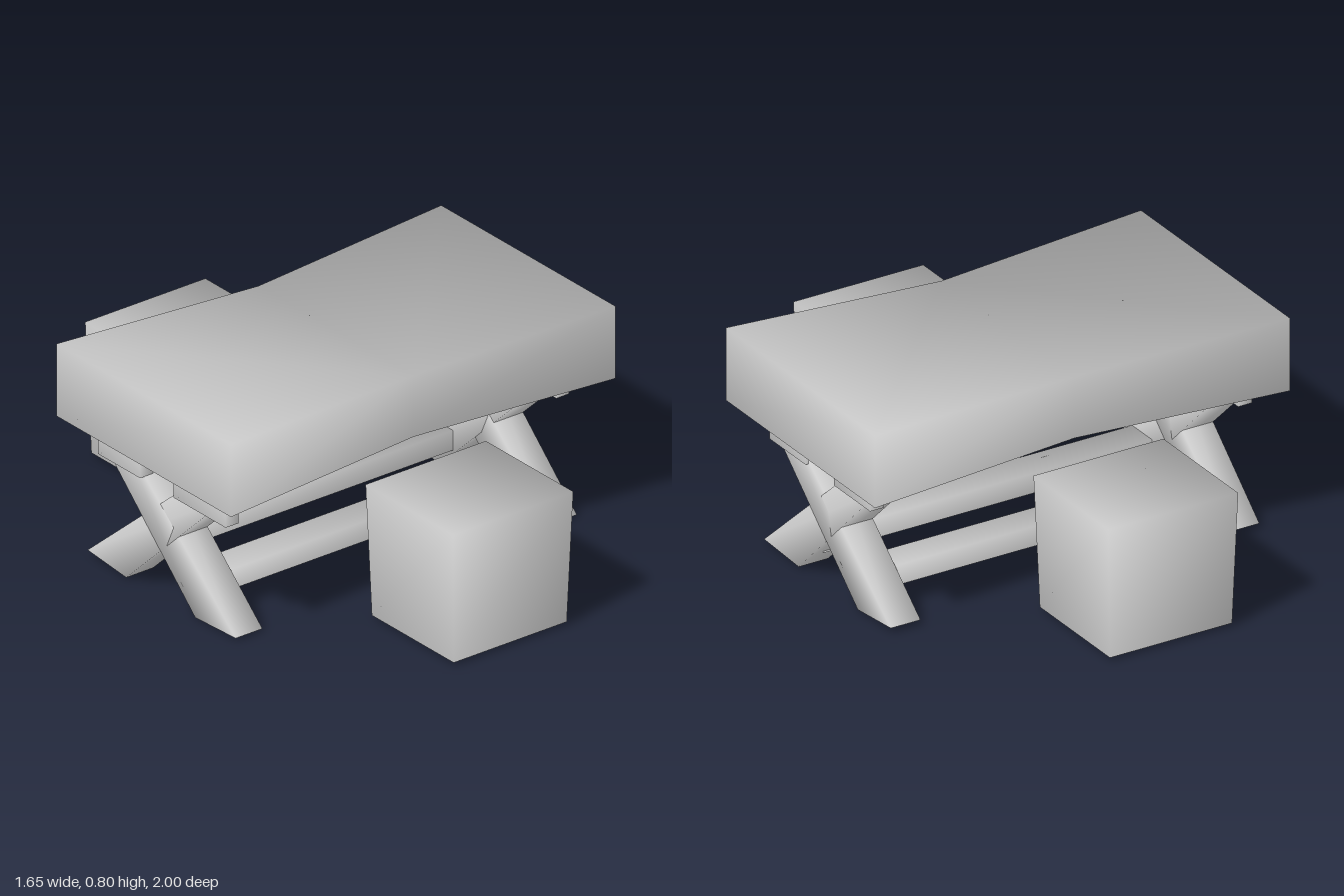
import * as THREE from 'three';

const grey = new THREE.MeshStandardMaterial({ color: 0xcccccc, side: THREE.DoubleSide });
grey.name = 'pale grey';

// Block from a bottom loop to a top loop, open underneath, with softly blended normals
function block(name, bottom, top) {
  const n = bottom.length;
  const points = [...bottom, ...top].map((p) => new THREE.Vector3(...p));
  const normals = points.map(() => new THREE.Vector3());
  const index = [];
  const addFace = (corners) => {
    const [a, b, c] = corners.map((i) => points[i]);
    const normal = b.clone().sub(a).cross(c.clone().sub(a)).normalize();
    corners.forEach((i) => normals[i].add(normal));
    for (let i = 1; i < corners.length - 1; i++) index.push(corners[0], corners[i], corners[i + 1]);
  };
  for (let i = 0; i < n; i++) {
    const j = (i + 1) % n;
    addFace([i, j, n + j, n + i]);
  }
  addFace(top.map((_, i) => n + i));
  const geometry = new THREE.BufferGeometry().setFromPoints(points);
  const flat = normals.flatMap((v) => v.normalize().toArray());
  geometry.setAttribute('normal', new THREE.Float32BufferAttribute(flat, 3));
  geometry.setIndex(index);
  const mesh = new THREE.Mesh(geometry, grey);
  mesh.name = name;
  return mesh;
}

// Four-cornered loop; the front and back edges may sit at different heights
const loop = (x0, x1, front, back, yFront, yBack = yFront) => [
  [x0, yFront, front], [x1, yFront, front], [x1, yBack, back], [x0, yBack, back],
];
// Straight-sided box
const box = (name, x0, x1, front, back, low, high) =>
  block(name, loop(x0, x1, front, back, low), loop(x0, x1, front, back, high));

// Outline of the top, pinched at the middle
const tableLoop = (yMiddle, yEnd) => [
  [0, yMiddle, 0.412], [0.825, yEnd, 0.467], [0.825, yEnd, -0.48],
  [0, yMiddle, -0.43], [-0.825, yEnd, -0.485], [-0.825, yEnd, 0.463],
];

export function createModel() {
  const model = new THREE.Group();
  model.name = 'tableWithStools';

  // Thick hollow top
  model.add(block('tableTop', tableLoop(0.548, 0.528), tableLoop(0.78, 0.802)));

  // Crossed legs at both ends, slightly wider at the top
  for (const [side, foot, head] of [
    ['right', [-0.743, -0.628], [-0.752, -0.62]],
    ['left', [0.606, 0.724], [0.608, 0.742]],
  ]) {
    model.add(block(side + 'LegToBack',
      loop(...foot, 0.385, 0.165, 0.01, 0), loop(...head, -0.22, -0.39, 0.535)));
    model.add(block(side + 'LegToFront',
      loop(...foot, -0.21, -0.42, 0, 0.02), loop(...head, 0.36, 0.19, 0.535)));
  }

  // Brackets holding the legs under the top
  for (const [x0, x1, front] of [[-0.77, -0.715, 0.365], [0.695, 0.75, 0.31]]) {
    model.add(box('frontBracket', x0, x1, front, 0.08, 0.43, 0.545));
    model.add(box('backBracket', x0, x1, -0.1, -0.33, 0.43, 0.545));
  }

  // Long rails between the leg pairs
  model.add(box('frontRail', -0.68, 0.68, 0.2, 0.075, 0.08, 0.155));
  model.add(box('backRail', -0.68, 0.68, -0.14, -0.26, 0.08, 0.155));

  // Tapered hollow stools
  for (const [name, front, back] of [['frontStool', 1, 0.525], ['backStool', -0.525, -1]]) {
    model.add(block(name,
      loop(-0.28, 0.206, front - 0.015, back + 0.015, 0.012),
      loop(-0.295, 0.222, front, back, 0.507)));
  }

  return model;
}
